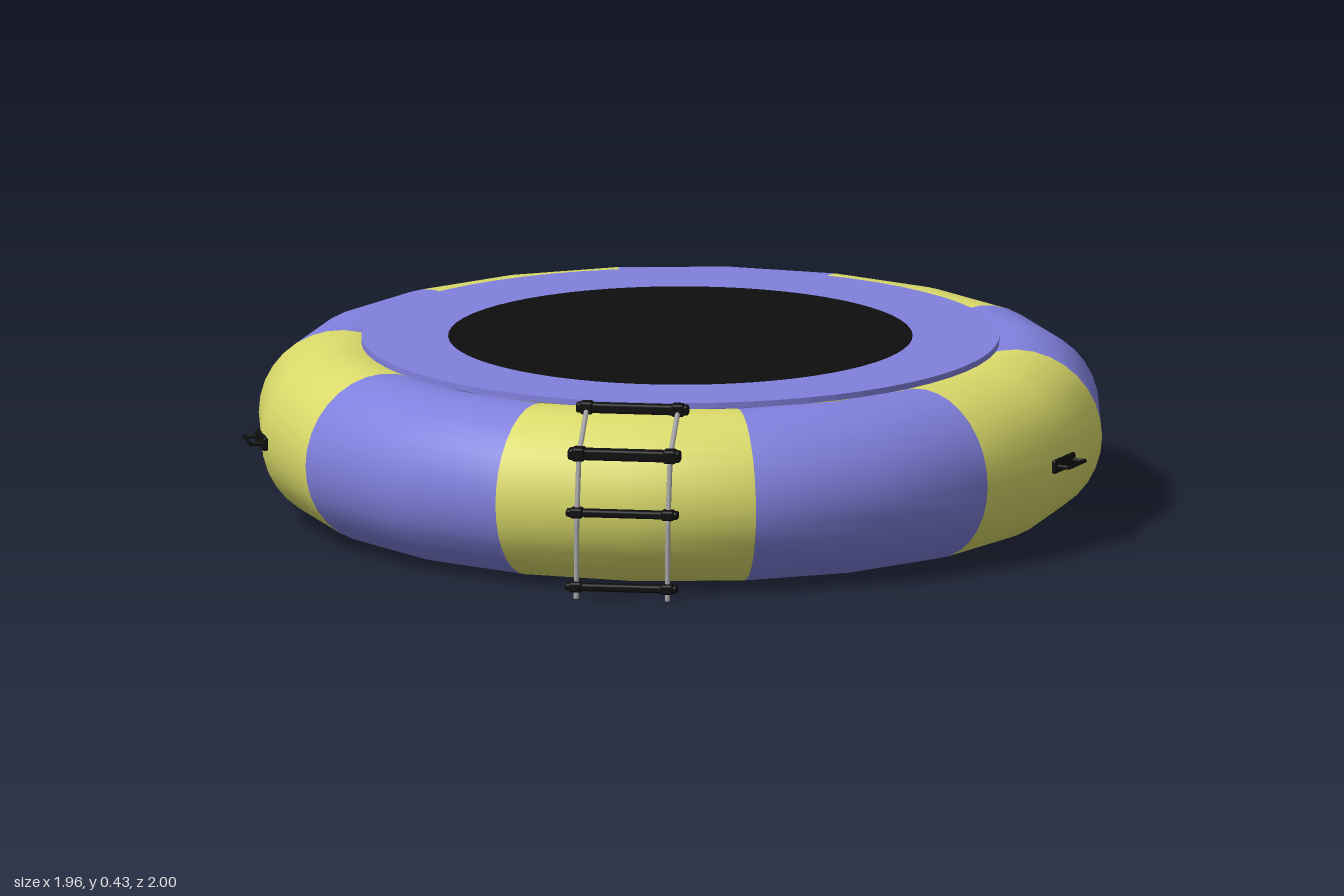
import * as THREE from 'three';
import { RoundedBoxGeometry } from 'three/addons/geometries/RoundedBoxGeometry.js';

const material = (name, color, side = THREE.FrontSide) => {
  const m = new THREE.MeshStandardMaterial({ color, side });
  m.name = name;
  return m;
};

export function createModel() {
  const blue = material('periwinkle vinyl', 0x8080de);
  const yellow = material('yellow vinyl', 0xdada6a);
  const black = material('black mesh', 0x0e0e0e);
  const grey = material('grey rail', 0xa4a4a4);

  const model = new THREE.Group();
  model.name = 'waterTrampoline';
  const body = new THREE.Group();
  body.name = 'body';
  body.position.z = 0.018;
  model.add(body);

  const RING = 0.782, TUBE = 0.198, MID = 0.2, DEG = Math.PI / 180;

  const add = (parent, name, geometry, mat, x = 0, y = 0, z = 0) => {
    const mesh = new THREE.Mesh(geometry, mat);
    mesh.name = name;
    mesh.position.set(x, y, z);
    parent.add(mesh);
    return mesh;
  };

  // Straight round bar between two points
  const bar = (parent, name, a, b, radius, mat, sides = 8) => {
    const from = new THREE.Vector3(...a), to = new THREE.Vector3(...b);
    const dir = to.clone().sub(from);
    const mesh = add(parent, name, new THREE.CylinderGeometry(radius, radius, dir.length(), sides), mat);
    mesh.position.copy(from).add(to).multiplyScalar(0.5);
    mesh.quaternion.setFromUnitVectors(new THREE.Vector3(0, 1, 0), dir.normalize());
    return mesh;
  };

  // Inflated tube: ten panels of alternating colour, two facets each
  const profile = [];
  for (let i = 0; i <= 32; i++) {
    const a = Math.PI + (i / 32) * Math.PI * 2;
    profile.push(new THREE.Vector2(RING + TUBE * Math.cos(a), MID + TUBE * Math.sin(a)));
  }
  for (let k = 0; k < 10; k++) {
    const panel = new THREE.LatheGeometry(profile, 2, (18 + 36 * k) * DEG, 36 * DEG);
    add(body, 'tubePanel' + (k + 1), panel, k % 2 ? blue : yellow);
  }

  // Flat deck: a blue border around the black jumping mat
  const DECK_LOW = 0.394, DECK_TOP = 0.408, MAT_R = 0.535, DECK_R = 0.735;
  const border = new THREE.Shape().absarc(0, 0, DECK_R, 0, Math.PI * 2);
  border.holes.push(new THREE.Path().absarc(0, 0, MAT_R, 0, Math.PI * 2, true));
  const borderGeo = new THREE.ExtrudeGeometry(border, {
    depth: DECK_TOP - DECK_LOW, bevelEnabled: false, curveSegments: 32,
  });
  borderGeo.rotateX(-Math.PI / 2);
  add(body, 'deckBorder', borderGeo, blue, 0, DECK_LOW, 0);
  add(body, 'jumpingMat', new THREE.CylinderGeometry(MAT_R, MAT_R, DECK_TOP - DECK_LOW, 64),
    black, 0, (DECK_LOW + DECK_TOP) / 2, 0);

  // Grab handles on four of the yellow panels
  for (const angle of [180, 108, -108, -36]) {
    const handle = new THREE.Group();
    handle.name = 'grabHandle';
    handle.rotation.y = angle * DEG;
    body.add(handle);
    const base = RING + TUBE, tip = base + 0.033, half = 0.04;
    add(handle, 'handlePlate', new RoundedBoxGeometry(0.108, 0.032, 0.012, 3, 0.005), black, 0, MID, base);
    for (const s of [-1, 1]) {
      bar(handle, 'handleArm', [s * half, MID, base], [s * half, MID, tip], 0.005, black);
    }
    bar(handle, 'handleGrip', [-half - 0.004, MID, tip], [half + 0.004, MID, tip], 0.005, black);
  }

  // Ladder: two bent rails draped over the tube, four rungs
  const ladder = new THREE.Group();
  ladder.name = 'ladder';
  ladder.rotation.y = 36 * DEG;
  body.add(ladder);
  const HALF = 0.106;
  const railPath = [[0.405, 0.735], [0.405, 0.825], [0.33, 0.952], [0.18, 0.99], [0, 0.998]];
  for (const s of [-1, 1]) {
    for (let i = 1; i < railPath.length; i++) {
      const [y0, z0] = railPath[i - 1], [y1, z1] = railPath[i];
      bar(ladder, 'ladderRail', [s * HALF, y0, z0], [s * HALF, y1, z1], 0.006, grey);
    }
  }
  // Each rung: height, distance out, thickness, depth
  const rungs = [[0.411, 0.815, 0.024, 0.024], [0.331, 0.952, 0.026, 0.03],
    [0.2, 0.988, 0.018, 0.026], [0.028, 0.998, 0.018, 0.026]];
  for (const [y, z, h, d] of rungs) {
    add(ladder, 'ladderRung', new RoundedBoxGeometry(0.262, h, d, 2, 0.006), black, 0, y, z);
    for (const s of [-1, 1]) {
      add(ladder, 'rungClamp', new RoundedBoxGeometry(0.03, h + 0.006, d + 0.006, 2, 0.006), black, s * HALF, y, z);
    }
  }
  return model;
}
